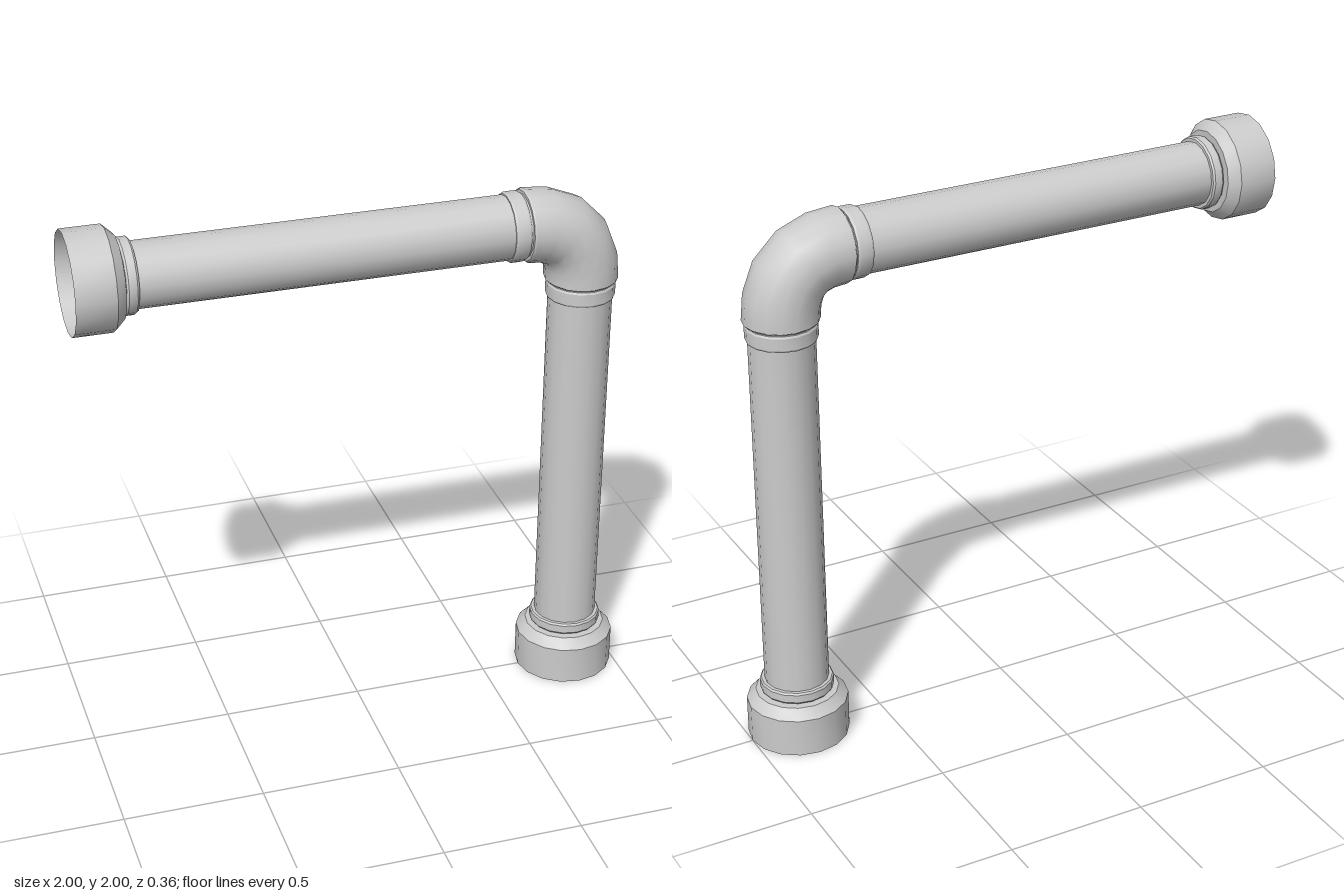
import * as THREE from 'three';
import { toCreasedNormals } from 'three/addons/utils/BufferGeometryUtils.js';

const SIDES = 16;
const AXIS = 0.82; // x of the upright pipe, y of the level pipe
const BEND = 0.6; // where the straight pipes end, measured on x
const material = new THREE.MeshStandardMaterial({ color: 0xcccccc, side: THREE.DoubleSide });

// Revolved part from [radius, height] pairs, with sharp rims
function turned(name, profile) {
  const points = profile.map(([r, h]) => new THREE.Vector2(r, h));
  const geometry = toCreasedNormals(new THREE.LatheGeometry(points, SIDES), 0.5);
  const mesh = new THREE.Mesh(geometry, material);
  mesh.name = name;
  return mesh;
}

// Straight pipe with its fittings, rising from the open socket at height 0
function createArm(name) {
  const arm = new THREE.Group();
  arm.name = name;
  arm.add(
    turned('socket', [[0.18, 0], [0.18, 0.14], [0.147, 0.175], [0.115, 0.175]]),
    turned('socketRing', [[0.115, 0.18], [0.126, 0.18], [0.131, 0.187], [0.131, 0.216], [0.126, 0.223], [0.113, 0.223]]),
    turned('pipe', [[0.114, 0.175], [0.114, 1.6]]),
    turned('collar', [[0.113, 1.53], [0.119, 1.53], [0.123, 1.537], [0.123, 1.58], [0.119, 1.587], [0.113, 1.587]]),
    turned('elbowLip', [[0.113, 1.594], [0.125, 1.594], [0.13, 1.602]])
  );
  return arm;
}

export function createModel() {
  const model = new THREE.Group();
  model.name = 'bentPipe';

  const upright = createArm('uprightArm');
  upright.position.set(AXIS, 0, 0);

  const level = createArm('levelArm');
  level.rotation.z = -Math.PI / 2;
  level.position.set(-1, AXIS + 1, 0);

  // Elbow joining the two arms
  const path = new THREE.QuadraticBezierCurve3(
    new THREE.Vector3(BEND, AXIS + 1, 0),
    new THREE.Vector3(AXIS, AXIS + 1, 0),
    new THREE.Vector3(AXIS, 1.6, 0)
  );
  const elbow = new THREE.Mesh(new THREE.TubeGeometry(path, 5, 0.131, SIDES, false), material);
  elbow.name = 'elbow';

  model.add(upright, level, elbow);
  return model;
}
